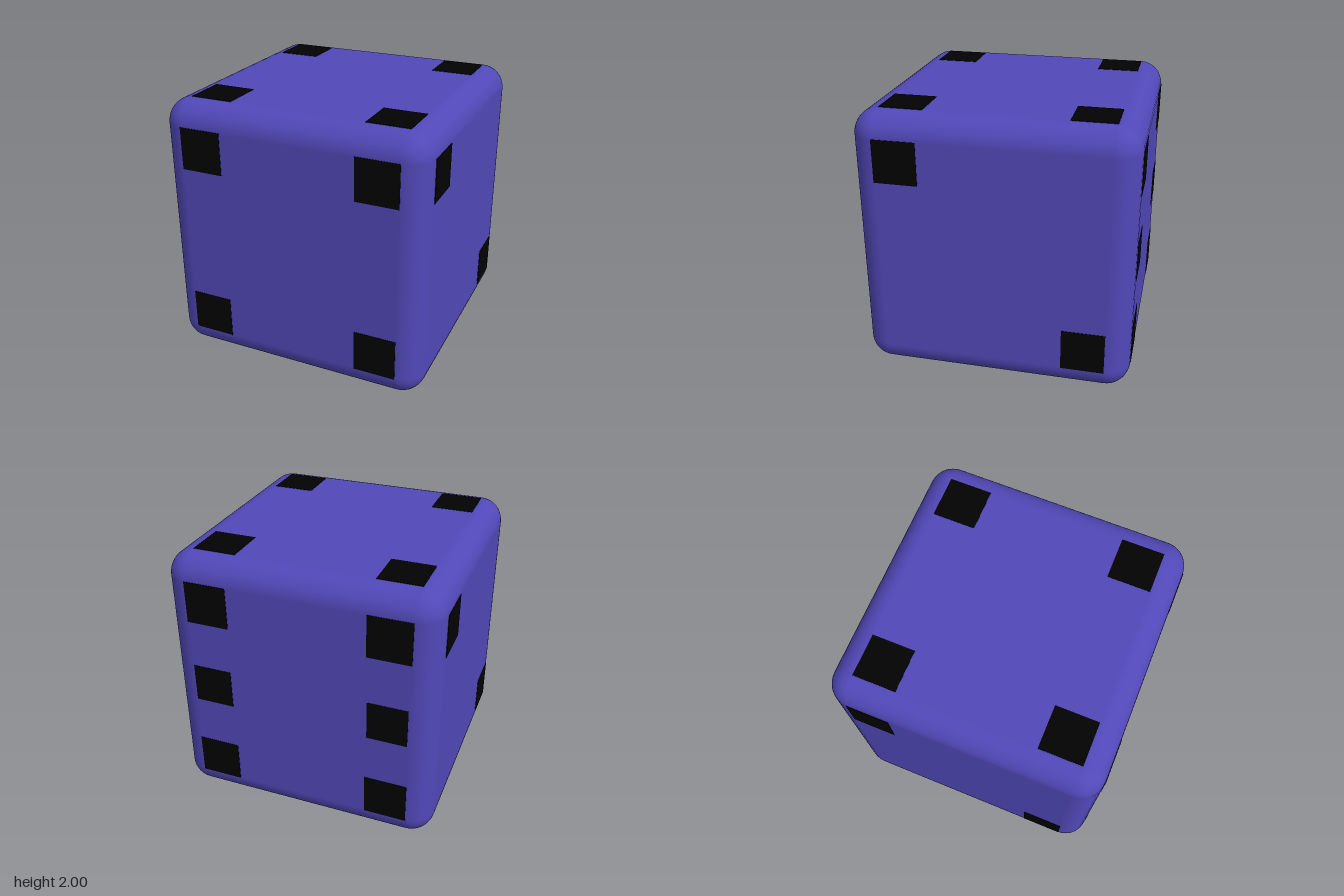
import * as THREE from 'three';
import { RoundedBoxGeometry } from 'three/addons/geometries/RoundedBoxGeometry.js';

const RAISE = 0.003;   // how far the spots stand proud of the body
const SPOT = 0.315;    // spot width
const MID = 0.295;     // width of the middle spots on the six faces
const P = 0.665;       // spot offset from the face centre

// Spot layouts as [u, v, size] on a face seen from outside, u right and v up
const four = [[-P, P, SPOT], [P, P, SPOT], [-P, -P, SPOT], [P, -P, SPOT]];
const two = [[-P, P, SPOT], [P, -P, SPOT]];
const six = [...four, [-P, 0, MID], [P, 0, MID]];

// Each face is turned from the front (+z) by rx, ry
const faces = [
  { name: 'frontSpots', spots: four, rx: 0, ry: 0 },
  { name: 'backSpots', spots: six, rx: 0, ry: Math.PI },
  { name: 'leftSpots', spots: two, rx: 0, ry: Math.PI / 2 },
  { name: 'rightSpots', spots: two, rx: 0, ry: -Math.PI / 2 },
  { name: 'topSpots', spots: four, rx: -Math.PI / 2, ry: 0 },
  { name: 'bottomSpots', spots: six, rx: Math.PI / 2, ry: 0 },
];

export function createModel() {
  const model = new THREE.Group();
  model.name = 'die';

  // Rounded cube body
  const size = 2 - 2 * RAISE;
  const body = new THREE.Mesh(
    new RoundedBoxGeometry(size, size, size, 5, 0.18),
    new THREE.MeshStandardMaterial({ color: 0x5148b8 })
  );
  body.name = 'body';
  body.position.y = 1;
  model.add(body);

  // Square black spots, thin slabs set into each face
  const black = new THREE.MeshStandardMaterial({ color: 0x020202 });
  const depth = 0.03;
  for (const { name, spots, rx, ry } of faces) {
    const face = new THREE.Group();
    face.name = name;
    face.position.y = 1;
    face.rotation.set(rx, ry, 0);
    for (const [u, v, s] of spots) {
      const spot = new THREE.Mesh(new THREE.BoxGeometry(s, s, depth), black);
      spot.name = 'spot';
      spot.position.set(u, v, 1 - depth / 2);
      face.add(spot);
    }
    model.add(face);
  }
  return model;
}
